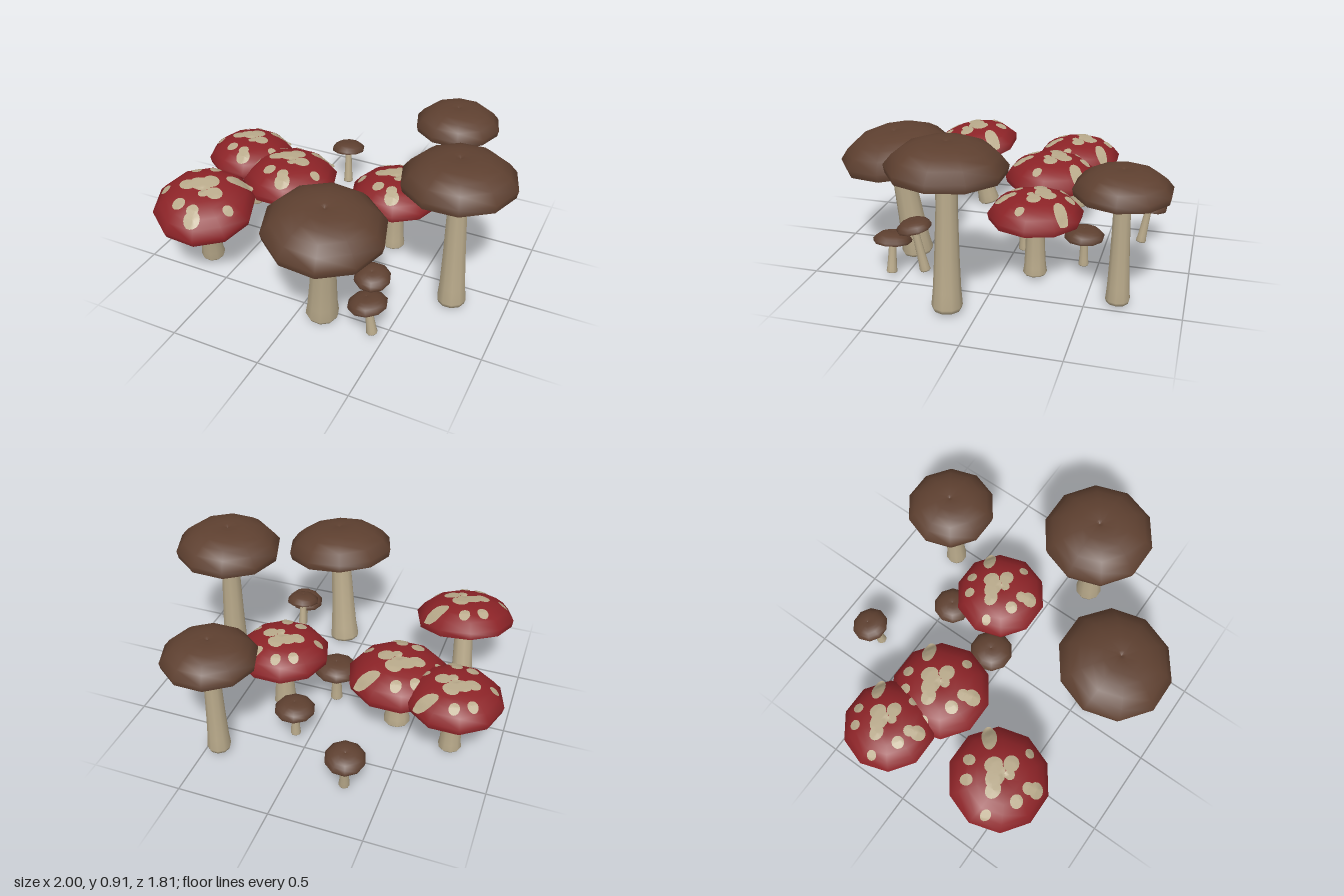
import * as THREE from 'three';

const mat = (name, color, side = THREE.FrontSide) => {
  const m = new THREE.MeshStandardMaterial({ color, side });
  m.name = name;
  return m;
};
const SIDES = 10;
const DEG = Math.PI / 180;

// Cap profile from rim to crown, as fractions of the cap radius
const CAP = [[0.97, 0], [1, 0.14], [0.86, 0.31], [0.7, 0.43], [0.52, 0.5], [0.33, 0.54], [0.08, 0.55], [0, 0.51]];
const GILLS = [[0, 0.04], [0.5, 0.03], [0.97, 0]];

// Cap patches: x, z, radius, stretch, turn (fractions of the cap radius)
const SPOTS = [
  [-0.12, -0.69, 0.11], [0.46, -0.62, 0.14, 1.8, 25], [-0.45, -0.52, 0.11],
  [-0.75, 0.15, 0.1], [-0.23, 0.46, 0.13], [0.1, 0.5, 0.12], [0.17, 0.66, 0.16],
  [0.67, 0.17, 0.1], [-0.33, -0.02, 0.14, 1.2], [-0.1, -0.13, 0.17, 1.4],
  [0.05, -0.28, 0.15, 1.2, -30], [0.27, -0.02, 0.15, 1.1], [0.08, 0.07, 0.1],
];

function lathe(points, sx, sy) {
  const pts = points.map(([r, y]) => new THREE.Vector2(r * sx, y * sy));
  return new THREE.LatheGeometry(pts, SIDES, Math.PI / 2);
}

// Height of the ten-sided cap above a point, in fractions of its radius
function capHeight(x, z) {
  const step = (2 * Math.PI) / SIDES;
  const a = Math.atan2(z, x);
  const local = a - (Math.floor(a / step) + 0.5) * step;
  const r = Math.min(0.99, Math.hypot(x, z) * Math.cos(local) / Math.cos(step / 2));
  for (let i = 1; i < CAP.length - 1; i++) {
    const [r0, y0] = CAP[i], [r1, y1] = CAP[i + 1];
    if (r <= r0 && r >= r1) return y0 + (y1 - y0) * (r0 - r) / (r0 - r1);
  }
  return 0.5;
}

// Thin patch draped over the cap
function spotGeometry([x, z, r, stretch = 1, turn = 0], R) {
  const g = new THREE.RingGeometry(0.001, 1, 14, 5);
  g.rotateX(-Math.PI / 2);
  g.scale(r * stretch, 1, r);
  g.rotateY(turn * DEG);
  g.translate(x, 0, z);
  const p = g.attributes.position;
  for (let i = 0; i < p.count; i++) {
    const px = p.getX(i), pz = p.getZ(i);
    p.setXYZ(i, px * R, capHeight(px, pz) * R + 0.005, pz * R);
  }
  g.computeVertexNormals();
  return g;
}

export function createModel() {
  const brown = mat('brown cap', 0x5e4030);
  const red = mat('red cap', 0x8c2327);
  const cream = mat('cream', 0xb9aa8b);
  const model = new THREE.Group();
  model.name = 'mushroomCluster';

  function mushroom(name, { base, h, R, r0, r1, tilt = [0, 0], spotted = false }) {
    const g = new THREE.Group();
    g.name = name;
    const add = (part, geo, m, y = 0) => {
      const mesh = new THREE.Mesh(geo, m);
      mesh.name = part;
      mesh.position.y = y;
      g.add(mesh);
    };
    // Stem with a rounded, slightly dimpled foot
    add('stem', lathe([
      [0, 0.04 * h], [r0 * 0.5, 0], [r0 * 0.92, 0], [r0, 0.03 * h], [r0 * 0.9, 0.15 * h],
      [r0 * 0.45 + r1 * 0.5, 0.4 * h], [r1, 0.75 * h], [r1, h + 0.06 * R],
    ], 1, 1), cream);
    add('cap', lathe(CAP, R, R), spotted ? red : brown, h);
    add('capUnderside', lathe(GILLS, R, R), brown, h);
    if (spotted) SPOTS.forEach((s) => add('capSpot', spotGeometry(s, R), cream, h));
    g.position.set(...base);
    g.rotation.set(tilt[0] * DEG, 0, tilt[1] * DEG);
    model.add(g);
  }

  // Tall brown mushrooms
  mushroom('tallMushroomLeft', { base: [0.72, 0.02, 0.155], h: 0.725, R: 0.3, r0: 0.079, r1: 0.054, tilt: [-1, 1.5] });
  mushroom('tallMushroomFront', { base: [0.13, 0.01, 0.54], h: 0.585, R: 0.317, r0: 0.09, r1: 0.063, tilt: [6, -5] });
  mushroom('tallMushroomBack', { base: [0.43, 0.02, -0.665], h: 0.59, R: 0.25, r0: 0.064, r1: 0.045 });

  // Red spotted mushrooms
  mushroom('spottedMushroomBack', { base: [-0.745, 0.02, -0.235], h: 0.31, R: 0.258, r0: 0.064, r1: 0.05, spotted: true });
  mushroom('spottedMushroomMiddle', { base: [-0.415, 0.02, -0.13], h: 0.285, R: 0.282, r0: 0.076, r1: 0.052, spotted: true });
  mushroom('spottedMushroomFront', { base: [-0.68, 0.015, 0.35], h: 0.375, R: 0.282, r0: 0.068, r1: 0.054, tilt: [12, -5], spotted: true });
  mushroom('spottedMushroomLeft', { base: [0.24, 0.02, -0.185], h: 0.325, R: 0.258, r0: 0.066, r1: 0.05, spotted: true });

  // Small brown mushrooms
  mushroom('smallMushroomBack', { base: [-0.3, 0.02, -0.7], h: 0.22, R: 0.106, r0: 0.03, r1: 0.021, tilt: [-9, 4] });
  mushroom('smallMushroomMiddleBack', { base: [0.08, 0.02, -0.425], h: 0.165, R: 0.112, r0: 0.029, r1: 0.022 });
  mushroom('smallMushroomMiddle', { base: [-0.03, 0.02, -0.06], h: 0.195, R: 0.125, r0: 0.036, r1: 0.028 });
  mushroom('smallMushroomFront', { base: [0.435, 0.02, 0.575], h: 0.175, R: 0.106, r0: 0.03, r1: 0.021, tilt: [-1, 9] });
  mushroom('smallMushroomFrontBehind', { base: [0.37, 0.02, 0.405], h: 0.255, R: 0.098, r0: 0.03, r1: 0.021, tilt: [11, -2] });

  return model;
}
